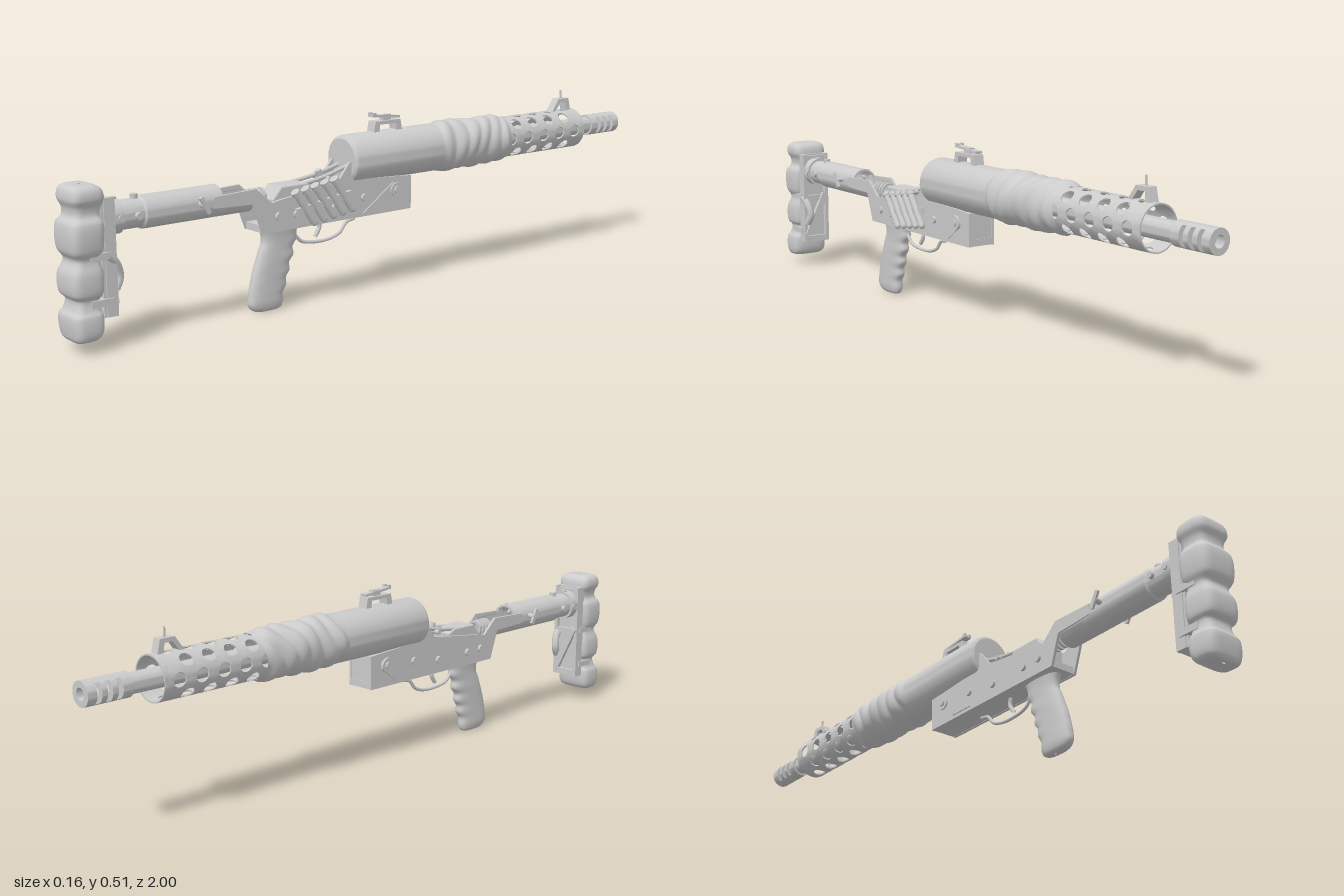
import * as THREE from 'three';
import { toCreasedNormals } from 'three/addons/utils/BufferGeometryUtils.js';

const mat = new THREE.MeshStandardMaterial({ color: 0xcccccc, side: THREE.DoubleSide });
const AXIS = 0.386; // barrel height

export function createModel() {
  const root = new THREE.Group();
  const add = (name, geo, x = 0, y = 0, z = 0, parent = root) => {
    const m = new THREE.Mesh(geo, mat);
    m.name = name;
    m.position.set(x, y, z);
    parent.add(m);
    return m;
  };
  const box = (name, w, h, d, x, y, z) => add(name, new THREE.BoxGeometry(w, h, d), x, y, z);

  // Turned part along z; profile is [radius, z] with z rising on the outside
  const turned = (name, pts, y = AXIS, start = 0, len = Math.PI * 2, seg = 40) => {
    const g = new THREE.LatheGeometry(pts.map(p => new THREE.Vector2(...p)), seg, start, len);
    return add(name, toCreasedNormals(g.rotateX(Math.PI / 2), 0.6), 0, y, 0);
  };
  const ring = (name, r, ri, z0, z1, y, start, len, seg) =>
    turned(name, [[ri, z0], [r, z0], [r, z1], [ri, z1], [ri, z0]], y, start, len, seg);

  // Side profile of [z, y] points with a thickness across x
  const plate = (name, pts, w, x, bevel = 0) => {
    const g = new THREE.ExtrudeGeometry(new THREE.Shape(pts.map(p => new THREE.Vector2(...p))), {
      depth: w - 2 * bevel, bevelEnabled: bevel > 0, bevelSize: bevel, bevelThickness: bevel, bevelOffset: -bevel, bevelSegments: 2,
    });
    return add(name, g.translate(0, 0, -(w - 2 * bevel) / 2).rotateY(-Math.PI / 2), x);
  };
  // Short pin across x
  const pin = (name, r, len, x, y, z, seg = 16) =>
    add(name, new THREE.CylinderGeometry(r, r, len, seg).rotateZ(Math.PI / 2), x, y, z);
  const tube = (name, pts, r, seg = 24, tension = 0.5) => add(name, new THREE.TubeGeometry(
    new THREE.CatmullRomCurve3(pts.map(p => new THREE.Vector3(...p)), false, 'catmullrom', tension), seg, r, 8));

  // Soft body lofted upwards through stations [y, zBack, zFront, halfWidth]
  const loft = (name, st, steps, power) => {
    const a = new THREE.CatmullRomCurve3(st.map(s => new THREE.Vector3(s[0], s[1], s[2])), false, 'centripetal');
    const w = new THREE.CatmullRomCurve3(st.map(s => new THREE.Vector3(s[0], s[3], 0)), false, 'centripetal');
    const N = 28, pos = [], idx = [];
    const sq = v => Math.sign(v) * Math.abs(v) ** power;
    for (let i = 0; i <= steps; i++) {
      const p = a.getPoint(i / steps), h = w.getPoint(i / steps).y;
      for (let j = 0; j < N; j++) {
        const t = (j / N) * Math.PI * 2;
        pos.push(h * sq(Math.cos(t)), p.x, (p.y + p.z) / 2 + (p.z - p.y) / 2 * sq(Math.sin(t)));
        if (i < steps) {
          const k = i * N + j, l = i * N + (j + 1) % N;
          idx.push(k, k + N, l, l, k + N, l + N);
        }
      }
    }
    const g = new THREE.BufferGeometry();
    g.setAttribute('position', new THREE.Float32BufferAttribute(pos, 3));
    g.setIndex(idx);
    g.computeVertexNormals();
    return add(name, g);
  };

  // Padded shoulder rest, tied into four bulges
  loft('shoulderPad', [
    [0.03, 0.975, 0.98, 0.005], [0.032, 0.94, 0.99, 0.045], [0.045, 0.92, 0.997, 0.057], [0.095, 0.915, 1, 0.058],
    [0.11, 0.92, 0.99, 0.05], [0.135, 0.92, 0.985, 0.046], [0.15, 0.912, 0.998, 0.055], [0.2, 0.91, 1, 0.056],
    [0.235, 0.915, 0.985, 0.047], [0.26, 0.908, 0.998, 0.058], [0.325, 0.905, 0.998, 0.059], [0.345, 0.91, 0.985, 0.046],
    [0.365, 0.905, 0.985, 0.047], [0.385, 0.9, 0.993, 0.056], [0.407, 0.905, 0.99, 0.054], [0.418, 0.92, 0.98, 0.043], [0.42, 0.945, 0.95, 0.004],
  ], 90, 0.5);
  box('buttPlate', 0.085, 0.3, 0.025, 0, 0.235, 0.903);
  for (const s of [-1, 1]) box('buttPlateRail', 0.012, 0.3, 0.03, s * 0.04, 0.235, 0.893);
  for (const y of [0.095, 0.235, 0.37]) box('buttPlateBar', 0.09, 0.02, 0.024, 0, y, 0.892);
  box('padStrap', 0.1, 0.018, 0.06, 0, 0.125, 0.922);
  box('padStrap', 0.1, 0.018, 0.06, 0, 0.242, 0.922);
  box('diagonalStrap', 0.022, 0.15, 0.012, 0, 0.18, 0.878).rotation.z = 0.45;
  tube('strapKnot', [[0.04, 0.24, 0.9], [0.035, 0.215, 0.875], [0.03, 0.18, 0.865], [0.035, 0.15, 0.88]], 0.012, 16);

  // Stock tube, hollow at its forward end with an opening cut in the top
  turned('stockTube', [[0.036, 0.56], [0.043, 0.56], [0.043, 0.785], [0.038, 0.79], [0.038, 0.89], [0, 0.89]], 0.327);
  ring('stockTrough', 0.043, 0.036, 0.465, 0.56, 0.327, -1.9, 3.8);
  ring('stockCollar', 0.045, 0.036, 0.85, 0.88, 0.327);
  for (const z of [0.8, 0.86]) add('stockStud', new THREE.CylinderGeometry(0.01, 0.01, 0.012, 12), 0, 0.37, z);
  for (const s of [-1, 1]) {
    for (const z of [0.81, 0.86]) pin('stockSideStud', 0.009, 0.012, s * 0.042, 0.327, z);
    pin('cleatPost', 0.008, 0.03, s * 0.048, 0.332, 0.63);
    box('cleatBar', 0.007, 0.05, 0.012, s * 0.062, 0.332, 0.63).rotation.x = 0.5;
  }

  // Receiver: two side plates, floor and inner block
  for (const s of [-1, 1]) {
    plate('receiverSide', [[0.59, 0.315], [0.47, 0.31], [0.44, 0.225], [-0.08, 0.225], [-0.08, 0.322], [0.12, 0.335],
      [0.13, 0.385], [0.145, 0.385], [0.185, 0.335], [0.385, 0.31], [0.41, 0.305], [0.46, 0.35], [0.59, 0.345]], 0.008, s * 0.04);
    pin('pivotBolt', 0.02, 0.012, s * 0.046, 0.288, -0.02, 20);
    pin('pivotBoltHead', 0.011, 0.018, s * 0.049, 0.288, -0.02, 6);
    for (const [z, y] of [[0.39, 0.267], [0.33, 0.265], [0.095, 0.28], [0.2, 0.265]]) pin('rivet', 0.011, 0.012, s * 0.046, y, z);
    plate('leverPlate', [[0.1, 0.235], [0.02, 0.235], [-0.04, 0.28], [-0.035, 0.305], [-0.01, 0.31]], 0.004, s * 0.0455);
    tube('linkRod', [[s * 0.024, 0.335, 0.33], [s * 0.022, 0.35, 0.22], [s * 0.018, 0.375, 0.12]], 0.006);
  }
  box('receiverFloor', 0.076, 0.02, 0.52, 0, 0.236, 0.18);
  box('foreBlock', 0.074, 0.094, 0.16, 0, 0.274, 0.002);
  plate('breechBlock', [[0.4, 0.24], [0.26, 0.24], [0.26, 0.33], [0.285, 0.343], [0.37, 0.343], [0.4, 0.31]], 0.066, 0, 0.004);
  pin('linkCrossbar', 0.007, 0.08, 0, 0.345, 0.21);
  add('hammerPost', new THREE.CylinderGeometry(0.009, 0.009, 0.07, 12), 0, 0.335, 0.21).rotation.x = 0.4;
  for (let i = 0; i < 4; i++) ring('bufferSpring', 0.025, 0.017, 0.412 + i * 0.015, 0.42 + i * 0.015, 0.318);

  // Slanted row of rounds held on the left flank
  for (let i = 0; i < 5; i++) {
    const g = new THREE.Group();
    g.name = 'sideRound';
    g.position.set(0.054, 0.279 + i * 0.005, 0.307 - i * 0.033);
    g.rotation.x = 0.6;
    root.add(g);
    add('roundBody', new THREE.CapsuleGeometry(0.01, 0.105, 4, 12), 0, 0, 0, g);
    add('roundRim', new THREE.CylinderGeometry(0.013, 0.013, 0.012, 14), 0, 0.055, 0, g);
  }
  box('roundStrap', 0.012, 0.018, 0.19, 0.05, 0.285, 0.24).rotation.x = 0.15;

  // Pistol grip with finger swells along its forward edge
  loft('grip', [
    [0, 0.395, 0.4, 0.003], [0.003, 0.36, 0.445, 0.015], [0.02, 0.352, 0.461, 0.021], [0.045, 0.352, 0.46, 0.022], [0.065, 0.34, 0.457, 0.022],
    [0.085, 0.341, 0.452, 0.022], [0.105, 0.328, 0.447, 0.022], [0.125, 0.33, 0.44, 0.022], [0.147, 0.314, 0.432, 0.022],
    [0.168, 0.317, 0.424, 0.021], [0.19, 0.303, 0.415, 0.021], [0.21, 0.303, 0.416, 0.022], [0.235, 0.29, 0.425, 0.025],
  ], 60, 0.75);

  // Trigger and guard
  tube('triggerGuard', [[0, 0.225, 0.32], [0, 0.19, 0.3], [0, 0.17, 0.27], [0, 0.165, 0.2], [0, 0.178, 0.15], [0, 0.205, 0.125], [0, 0.212, 0.095]], 0.005, 40);
  tube('trigger', [[0, 0.23, 0.225], [0, 0.205, 0.22], [0, 0.18, 0.235]], 0.006, 12);

  // Main housing
  turned('housing', [[0, -0.2], [0.07, -0.2], [0.07, 0.125], [0.067, 0.134], [0.06, 0.139], [0, 0.14]], AXIS, 0, Math.PI * 2, 48);

  // Wrinkled cloth wrap
  const cloth = new THREE.CylinderGeometry(1, 1, 0.29, 72, 48, true).rotateX(Math.PI / 2);
  const p = cloth.attributes.position;
  for (let i = 0; i < p.count; i++) {
    const a = Math.atan2(p.getY(i), p.getX(i)), z = p.getZ(i), t = z / 0.29 + 0.5;
    const folds = Math.abs(Math.sin(z * 62 + 1.3 * Math.sin(a) + 0.5 * Math.sin(2 * a + z * 20)));
    const end = Math.min(1, Math.min(t, 1 - t) * 12);
    const r = 0.063 + 0.006 * t + end * (0.002 + 0.0065 * folds + 0.002 * Math.sin(3 * a + z * 40));
    p.setXYZ(i, r * Math.cos(a), r * Math.sin(a), z + 0.007 * Math.sin(2 * a + 1));
  }
  cloth.computeVertexNormals();
  add('clothWrap', cloth, 0, AXIS, -0.335);

  // Perforated shroud: cells around the axis, each a rectangle with a round hole
  const R = 0.062, Ri = 0.058, pos = [], idx = [], K = 32;
  const cell = (ang, z, h, hole) => {
    const base = pos.length / 3, hw = (Math.PI / 8) * R;
    for (const [r, edge] of [[R, true], [R, false], [Ri, false], [Ri, true]]) {
      for (let k = 0; k < K; k++) {
        const t = (k / K) * Math.PI * 2, c = Math.cos(t), s = Math.sin(t), m = Math.max(Math.abs(c), Math.abs(s));
        const u = ang + (edge ? (c / m) * hw : c * hole) / R;
        pos.push(r * Math.cos(u), r * Math.sin(u), z + (edge ? (s / m) * h / 2 : s * hole));
      }
    }
    for (let l = 0; l < 3; l++) for (let k = 0; k < K; k++) {
      const a = base + l * K + k, b = base + l * K + (k + 1) % K;
      idx.push(a, b, a + K, b, b + K, a + K);
    }
  };
  for (let c = 0; c < 8; c++) {
    const ang = (c * Math.PI) / 4, odd = c % 2;
    for (let i = 0; i < 5 - odd; i++) cell(ang, -0.475 - 0.07 * i - 0.035 * odd, 0.07, 0.0195);
    if (odd) for (const z of [-0.4575, -0.7725]) cell(ang, z, 0.035, 0);
  }
  const shroud = new THREE.BufferGeometry();
  shroud.setAttribute('position', new THREE.Float32BufferAttribute(pos, 3));
  shroud.setIndex(idx);
  add('shroud', toCreasedNormals(shroud, 0.7), 0, AXIS);
  ring('shroudLip', R, Ri, -0.8, -0.79, AXIS);

  // Barrel and slotted muzzle brake
  ring('barrel', 0.027, 0.014, -0.875, -0.4, AXIS);
  ring('brakeBase', 0.033, 0.014, -0.9, -0.87, AXIS);
  for (let i = 0; i < 3; i++) {
    const z = -0.914 - i * 0.03;
    for (const s of [0, Math.PI]) ring('brakeSpine', 0.033, 0.016, z, z + 0.014, AXIS, s - 0.65, 1.3, 10);
    ring('brakeRing', 0.033, 0.016, i === 2 ? -1 : z - 0.016, z, AXIS);
  }

  // Front sight: small arch with a pin
  plate('frontSightArch', [[-0.7, 0.443], [-0.715, 0.443], [-0.737, 0.472], [-0.762, 0.472], [-0.766, 0.443], [-0.785, 0.443], [-0.775, 0.484], [-0.73, 0.484]], 0.026, 0);
  add('frontSightPin', new THREE.CylinderGeometry(0.003, 0.003, 0.03, 8), 0, 0.495, -0.752);

  // Rear sight: bridge carrying a tilted leaf
  plate('rearSightBridge', [[0.035, 0.45], [0.015, 0.45], [0.012, 0.474], [-0.048, 0.474], [-0.05, 0.45], [-0.07, 0.45], [-0.064, 0.484], [0.028, 0.484]], 0.032, 0);
  box('rearSightPost', 0.016, 0.02, 0.03, 0, 0.49, -0.02);
  box('rearSightLeaf', 0.022, 0.007, 0.1, 0, 0.495, -0.016).rotation.x = -0.1;
  for (const s of [-1, 1]) box('rearSightEar', 0.007, 0.012, 0.012, s * 0.008, 0.502, 0.028);
  return root;
}
